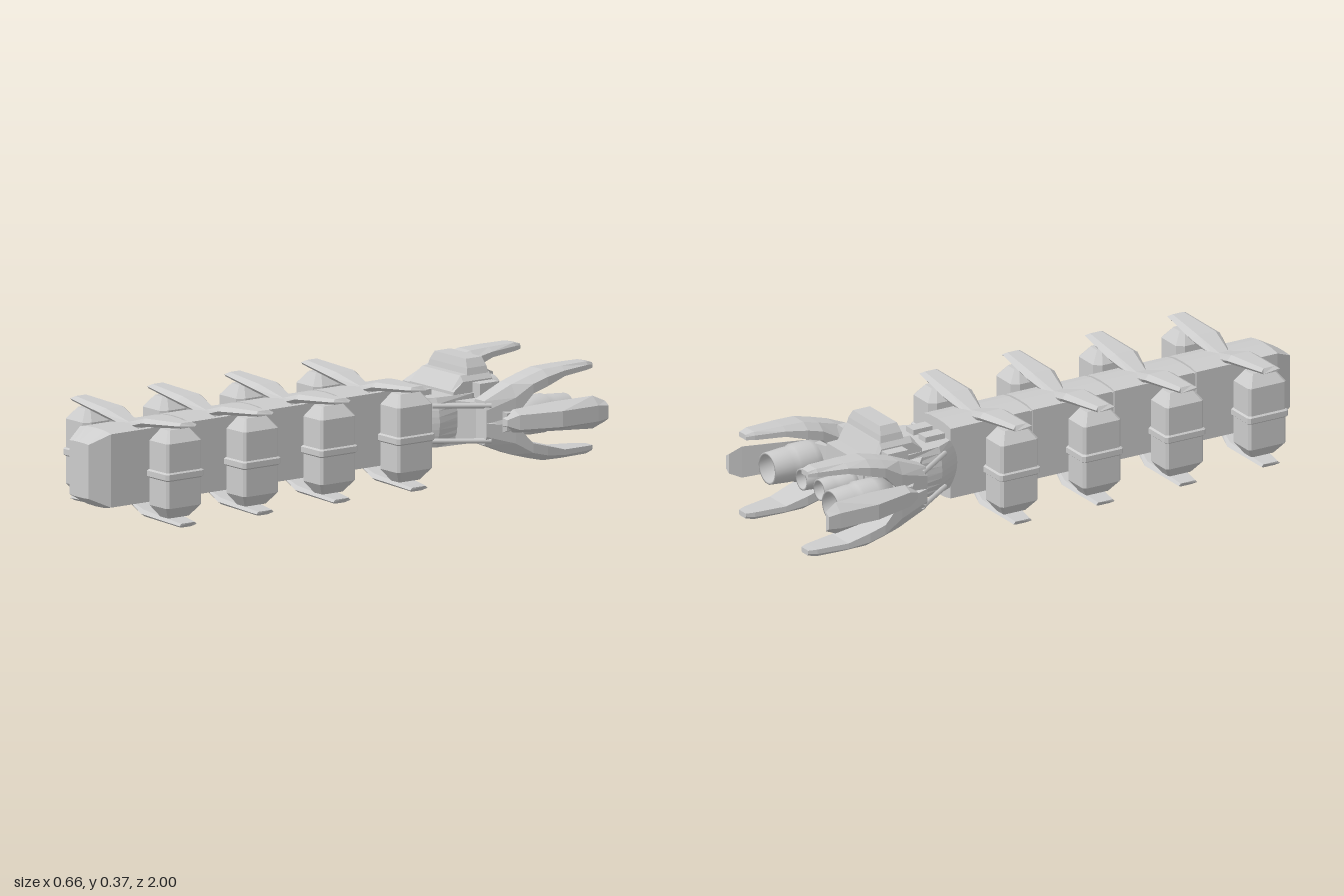
import * as THREE from 'three';

const MID = 0.18; // height of the long axis
const grey = new THREE.MeshStandardMaterial({ color: 0xcccccc, flatShading: true });
const greyOpen = new THREE.MeshStandardMaterial({ color: 0xcccccc, side: THREE.DoubleSide });

// Closed solid through a list of rings of [x, y, z] points, turned to face outward
function loft(name, rings) {
  const tris = [], n = rings[0].length;
  for (let i = 0; i < rings.length - 1; i++) {
    for (let j = 0; j < n; j++) {
      const k = (j + 1) % n, a = rings[i], b = rings[i + 1];
      tris.push([a[j], a[k], b[k]], [a[j], b[k], b[j]]);
    }
  }
  const first = rings[0], last = rings[rings.length - 1];
  for (let j = 1; j < n - 1; j++) {
    tris.push([first[0], first[j + 1], first[j]], [last[0], last[j], last[j + 1]]);
  }
  let volume = 0;
  for (const [a, b, c] of tris) {
    volume += new THREE.Vector3(...a).dot(new THREE.Vector3(...b).cross(new THREE.Vector3(...c)));
  }
  if (volume < 0) tris.forEach((t) => t.reverse());
  const geo = new THREE.BufferGeometry();
  geo.setAttribute('position', new THREE.Float32BufferAttribute(tris.flat(2), 3));
  geo.computeVertexNormals();
  const mesh = new THREE.Mesh(geo, grey);
  mesh.name = name;
  return mesh;
}

function box(name, x0, x1, y0, y1, z0, z1) {
  const ring = (y) => [[x0, y, z0], [x1, y, z0], [x1, y, z1], [x0, y, z1]];
  return loft(name, [ring(y0), ring(y1)]);
}

// Spine cross-section with a slightly domed top and bottom
function spineRing(z, hw, hh, dome) {
  const top = [[hw, hh], [hw * 0.55, hh + dome * 0.8], [0, hh + dome], [-hw * 0.55, hh + dome * 0.8], [-hw, hh]];
  const all = [...top, ...top.map(([x, y]) => [-x, -y])];
  return all.map(([x, y]) => [x, MID + y, z]);
}

function spine() {
  const g = new THREE.Group();
  g.name = 'spine';
  g.add(loft('noseSection', [spineRing(1, 0.052, 0.092, 0.002), spineRing(0.93, 0.085, 0.125, 0.009), spineRing(0.61, 0.085, 0.125, 0.009)]));
  for (let i = 0; i < 3; i++) {
    const z = 0.6 - i * 0.322;
    g.add(loft('spineSection', [spineRing(z, 0.085, 0.125, 0.009), spineRing(z - 0.312, 0.085, 0.125, 0.009)]));
  }
  g.add(loft('spineCore', [spineRing(0.65, 0.08, 0.12, 0.007), spineRing(-0.34, 0.08, 0.12, 0.007)]));
  return g;
}

// Chamfered plan outline of a cargo pod at one height
function podRing(s, y, x0, x1, hz, c) {
  const outer = c * 0.5;
  return [[x0, -hz + c * 1.4], [x0 + c, -hz], [x1 - outer, -hz], [x1, -hz + outer],
    [x1, hz - outer], [x1 - outer, hz], [x0 + c, hz], [x0, hz - c * 1.4]].map(([x, z]) => [s * x, y, z]);
}

function pod(s) {
  const g = new THREE.Group();
  g.name = 'cargoPod';
  const full = (y) => podRing(s, y, 0.165, 0.282, 0.074, 0.018);
  const small = (y) => podRing(s, y, 0.195, 0.25, 0.045, 0.01);
  g.add(loft('podBody', [small(0.03), full(0.07), full(0.29), small(0.33)]));
  const band = (y, d) => podRing(s, y, 0.165 - d, 0.282 + d, 0.074 + d, 0.018);
  g.add(loft('podBand', [band(0.163, 0), band(0.168, 0.006), band(0.187, 0.006), band(0.192, 0)]));
  return g;
}

// Wing from the spine out over a pod; v = 1 above, -1 below
function wing(s, v) {
  const ring = (x, xTop, yTop, yLow, hz) => [
    [x, yLow, -hz * 0.8], [x, (yTop + yLow) / 2, -hz], [xTop, yTop, -hz * 0.6],
    [xTop, yTop, hz * 0.6], [x, (yTop + yLow) / 2, hz], [x, yLow, hz * 0.8],
  ].map(([px, y, z]) => [s * px, MID + v * y, z]);
  return loft('wing', [
    ring(0, 0, 0.136, 0.105, 0.03),
    ring(0.115, 0.105, 0.167, 0.141, 0.057),
    ring(0.298, 0.287, 0.178, 0.162, 0.036),
  ]);
}

// Rear hull: domed front, flat-sided body
function hull() {
  const g = new THREE.Group();
  g.name = 'rearHull';
  const rings = [];
  for (let i = 0; i <= 8; i++) {
    const t = i / 4 - 1; // -1..1 from bottom to top
    const bulge = 1 - t * t, y = MID + t * 0.085;
    rings.push([[0.085, -0.36 + bulge * 0.03], [0.115 + bulge * 0.02, -0.42], [0.128, -0.56], [0.115, -0.72],
      [-0.115, -0.72], [-0.128, -0.56], [-0.115 - bulge * 0.02, -0.42], [-0.085, -0.36 + bulge * 0.03]]
      .map(([x, z]) => [x, y, z]));
  }
  g.add(loft('hullBody', rings));
  // Bridge with a sloped window and a raised roof block
  const side = (x, inset) => [[0.25, -0.49], [0.275, -0.49], [0.325 - inset, -0.53], [0.325 - inset, -0.65], [0.25, -0.68]]
    .map(([y, z]) => [x, y, z]);
  g.add(loft('bridge', [side(-0.12, 0.02), side(-0.105, 0), side(0.105, 0), side(0.12, 0.02)]));
  const roof = (y, hx, z0, z1) => [[-hx, y, z0], [hx, y, z0], [hx, y, z1], [-hx, y, z1]];
  g.add(loft('bridgeRoof', [roof(0.29, 0.115, -0.65, -0.55), roof(0.345, 0.102, -0.642, -0.56), roof(0.374, 0.085, -0.635, -0.568)]));
  for (const s of [-1, 1]) {
    g.add(box('hatch', s * 0.016, s * 0.062, 0.25, 0.284, -0.44, -0.365));
    g.add(box('bridgeJoint', s * 0.1, s * 0.16, 0.25, 0.3, -0.65, -0.57));
  }
  return g;
}

// Hollow nozzle from [radius, distance] points, opening toward the back
function nozzle(name, x, z, profile) {
  const geo = new THREE.LatheGeometry(profile.map(([r, d]) => new THREE.Vector2(r, d)), 24);
  const mesh = new THREE.Mesh(geo, greyOpen);
  mesh.name = name;
  mesh.rotation.x = -Math.PI / 2;
  mesh.position.set(x, MID, z);
  return mesh;
}

function strut(a, b) {
  const curve = new THREE.LineCurve3(new THREE.Vector3(...a), new THREE.Vector3(...b));
  const mesh = new THREE.Mesh(new THREE.TubeGeometry(curve, 1, 0.009, 6), greyOpen);
  mesh.name = 'strut';
  return mesh;
}

// Claw over the engine: v = 1 above, -1 below; rows are z, top, low, half widths
function claw(s, v) {
  const rows = [[-0.54, 0.075, 0.0, 0.038, 0.025], [-0.65, 0.12, 0.015, 0.055, 0.03], [-0.72, 0.14, 0.085, 0.062, 0.032],
    [-0.78, 0.155, 0.102, 0.062, 0.032], [-0.86, 0.157, 0.125, 0.052, 0.03], [-0.97, 0.157, 0.13, 0.033, 0.024], [-1, 0.15, 0.132, 0.022, 0.018]];
  return loft('claw', rows.map(([z, top, low, w, t]) => {
    const mid = top - (top - low) * 0.4;
    return [[-w, low], [-w, mid], [-t, top], [t, top], [w, mid], [w, low]]
      .map(([x, y]) => [s * (0.197 + x), MID + v * y, z]);
  }));
}

function engine(s) {
  const g = new THREE.Group();
  g.name = 'engine';
  g.add(claw(s, 1), claw(s, -1));
  // Mount joining the engine to the hull
  const mount = (x, h, z0, z1) => [[s * x, MID - h, z0], [s * x, MID + h, z0], [s * x, MID + h, z1], [s * x, MID - h, z1]];
  g.add(loft('engineMount', [mount(0.1, 0.07, -0.47, -0.71), mount(0.2, 0.06, -0.56, -0.73), mount(0.255, 0.03, -0.61, -0.72)]));
  // Outer fin, bent outward toward the back
  const fin = [[-0.6, 0.235, 0.27, 0.015, 0.01], [-0.64, 0.25, 0.287, 0.04, 0.025], [-0.79, 0.268, 0.328, 0.05, 0.027],
    [-0.94, 0.296, 0.328, 0.056, 0.027], [-0.985, 0.306, 0.326, 0.035, 0.022]];
  g.add(loft('outerFin', fin.map(([z, xi, xo, hi, ho]) =>
    [[xi, -hi], [xo, -ho], [xo, ho], [xi, hi]].map(([x, y]) => [s * x, MID + y, z]))));
  g.add(nozzle('mainNozzle', s * 0.2, -0.68, [[0, 0], [0.058, 0], [0.066, 0.06], [0.066, 0.12], [0.06, 0.125], [0.06, 0.15],
    [0.055, 0.22], [0.048, 0.22], [0.052, 0.13], [0, 0.1]]));
  g.add(nozzle('smallNozzle', s * 0.056, -0.71, [[0, 0], [0.036, 0], [0.042, 0.03], [0.042, 0.075], [0.037, 0.08],
    [0.04, 0.1], [0.037, 0.145], [0.031, 0.145], [0.032, 0.08], [0, 0.06]]));
  for (const v of [-1, 1]) {
    g.add(strut([s * 0.12, MID + v * 0.06, -0.4], [s * 0.235, MID + v * 0.06, -0.56]));
  }
  return g;
}

export function createModel() {
  const model = new THREE.Group();
  model.name = 'cargoShip';
  model.add(spine(), hull());
  // Four cargo stations, each with a pod and two wings per side
  for (let i = 0; i < 4; i++) {
    const station = new THREE.Group();
    station.name = 'cargoStation';
    station.position.z = 0.77 - i * 0.325;
    for (const s of [-1, 1]) station.add(pod(s), wing(s, 1), wing(s, -1));
    model.add(station);
  }
  for (const s of [-1, 1]) model.add(engine(s));
  return model;
}
